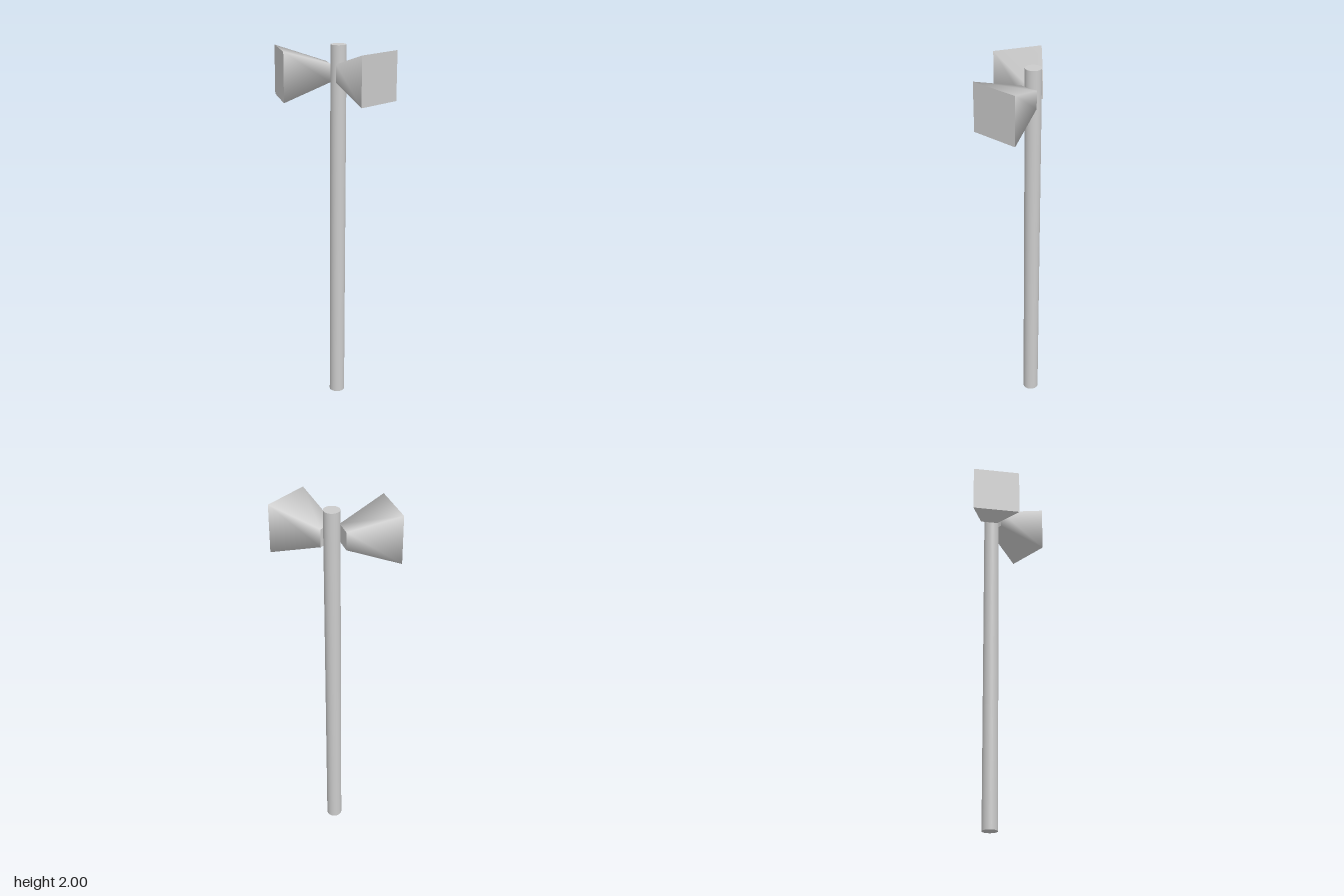
import * as THREE from 'three';

const material = new THREE.MeshStandardMaterial({ color: 0xcccccc });

// Square horn flaring along +x, small end at the local origin
function makeHorn(name, x, z, turn) {
  const length = 0.26, throat = 0.048, mouth = 0.13; // half widths
  const geometry = new THREE.CylinderGeometry(
    mouth * Math.SQRT2, throat * Math.SQRT2, length, 4, 1, false, Math.PI / 4);
  geometry.translate(0, length / 2, 0).rotateZ(-Math.PI / 2);
  const horn = new THREE.Mesh(geometry, material);
  horn.name = name;
  horn.position.set(x, 1.857, z);
  horn.rotation.y = turn;
  return horn;
}

export function createModel() {
  const model = new THREE.Group();
  model.name = 'hornSpeakerPole';

  // Round pole
  const pole = new THREE.Mesh(new THREE.CylinderGeometry(0.042, 0.042, 2, 40), material);
  pole.name = 'pole';
  pole.position.set(0, 1, -0.097);
  model.add(pole);

  // Two horns near the top, pointing in different directions
  model.add(makeHorn('leftHorn', 0.031, -0.097, 0));
  model.add(makeHorn('rightHorn', -0.044, -0.066, -2.124));
  return model;
}
